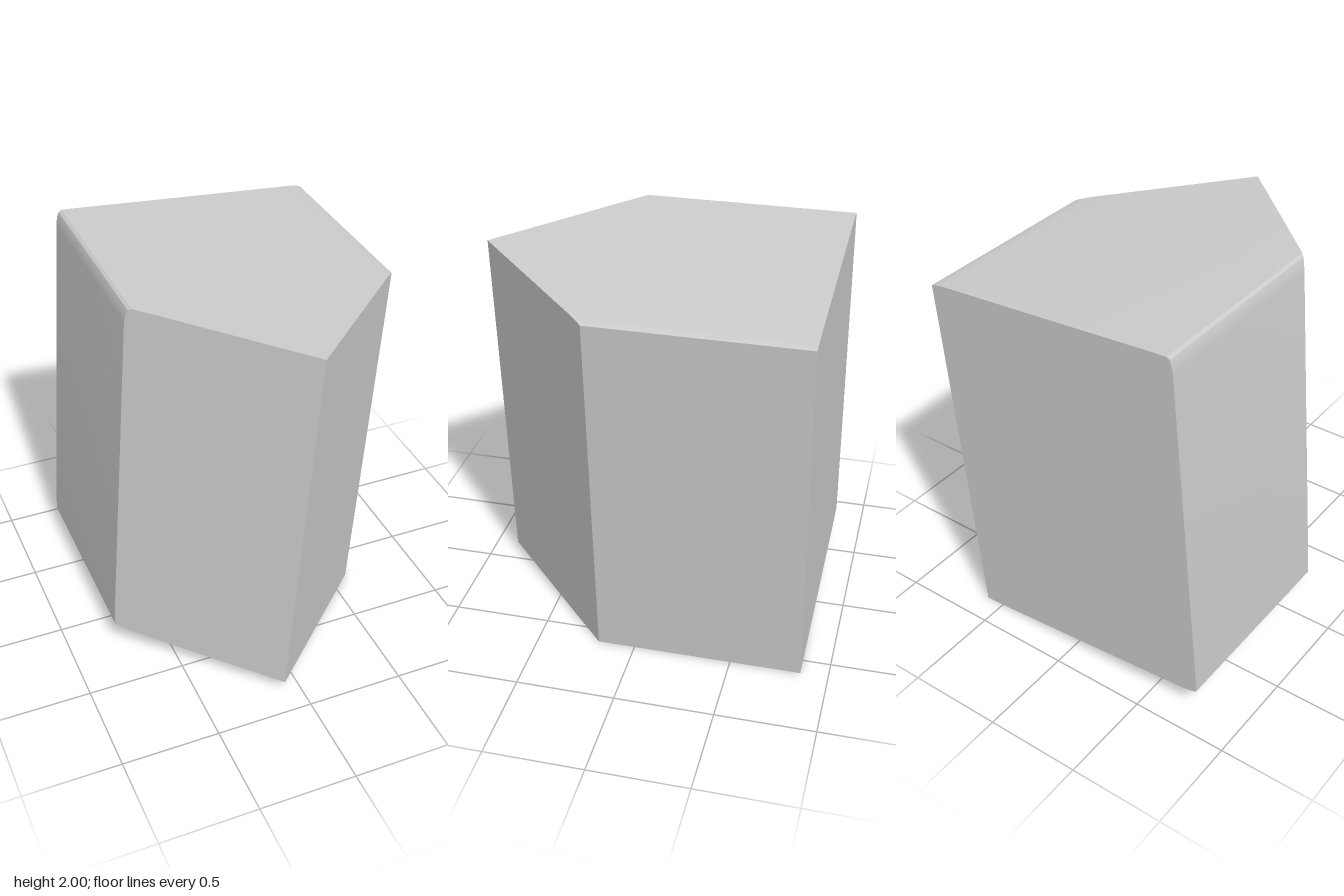
import * as THREE from 'three';
import { toCreasedNormals } from 'three/addons/utils/BufferGeometryUtils.js';

// Leaning outline, counter-clockwise from the top of the front ridge
const OUTLINE = [
  [0.07, 1.948], [-0.51, 1.995], [-0.585, 2], [-0.6, 1.99], [-0.61, 1.965], [-0.617, 1.92],
  [-0.75, 0.23], [-0.755, 0.125], [-0.735, 0.116], [-0.68, 0.104],
  [-0.08, 0.053], [0.45, 0.009], [0.6, 0],
  [0.743, 1.8], [0.75, 1.885], [0.735, 1.891], [0.69, 1.899],
];
const BACK = -0.86, FRONT = 0.86;

// The front is a wedge whose two faces fall back from the leaning ridge
function frontZ(x, y) {
  const ridgeX = -0.08 + (y - 0.053) * (0.15 / 1.895);
  return FRONT - 0.98 * Math.abs(x - ridgeX);
}

function wedgeBlockGeometry() {
  const n = OUTLINE.length;
  const front = OUTLINE.map(([x, y]) => [x, y, frontZ(x, y)]);
  const back = OUTLINE.map(([x, y]) => [x, y, BACK]);
  const positions = [];
  const tri = (a, b, c) => positions.push(...a, ...b, ...c);

  // Front and back caps, fanned from the ridge top
  for (let i = 1; i < n - 1; i++) {
    tri(front[0], front[i], front[i + 1]);
    tri(back[0], back[i + 1], back[i]);
  }
  // Sides running from front to back
  for (let i = 0; i < n; i++) {
    const j = (i + 1) % n;
    tri(front[i], back[i], front[j]);
    tri(front[j], back[i], back[j]);
  }
  const geometry = new THREE.BufferGeometry();
  geometry.setAttribute('position', new THREE.Float32BufferAttribute(positions, 3));
  return toCreasedNormals(geometry, 0.4);
}

export function createModel() {
  const group = new THREE.Group();
  const block = new THREE.Mesh(
    wedgeBlockGeometry(),
    new THREE.MeshStandardMaterial({ color: 0xcccccc }),
  );
  block.name = 'wedgeFrontedBlock';
  group.add(block);
  return group;
}
